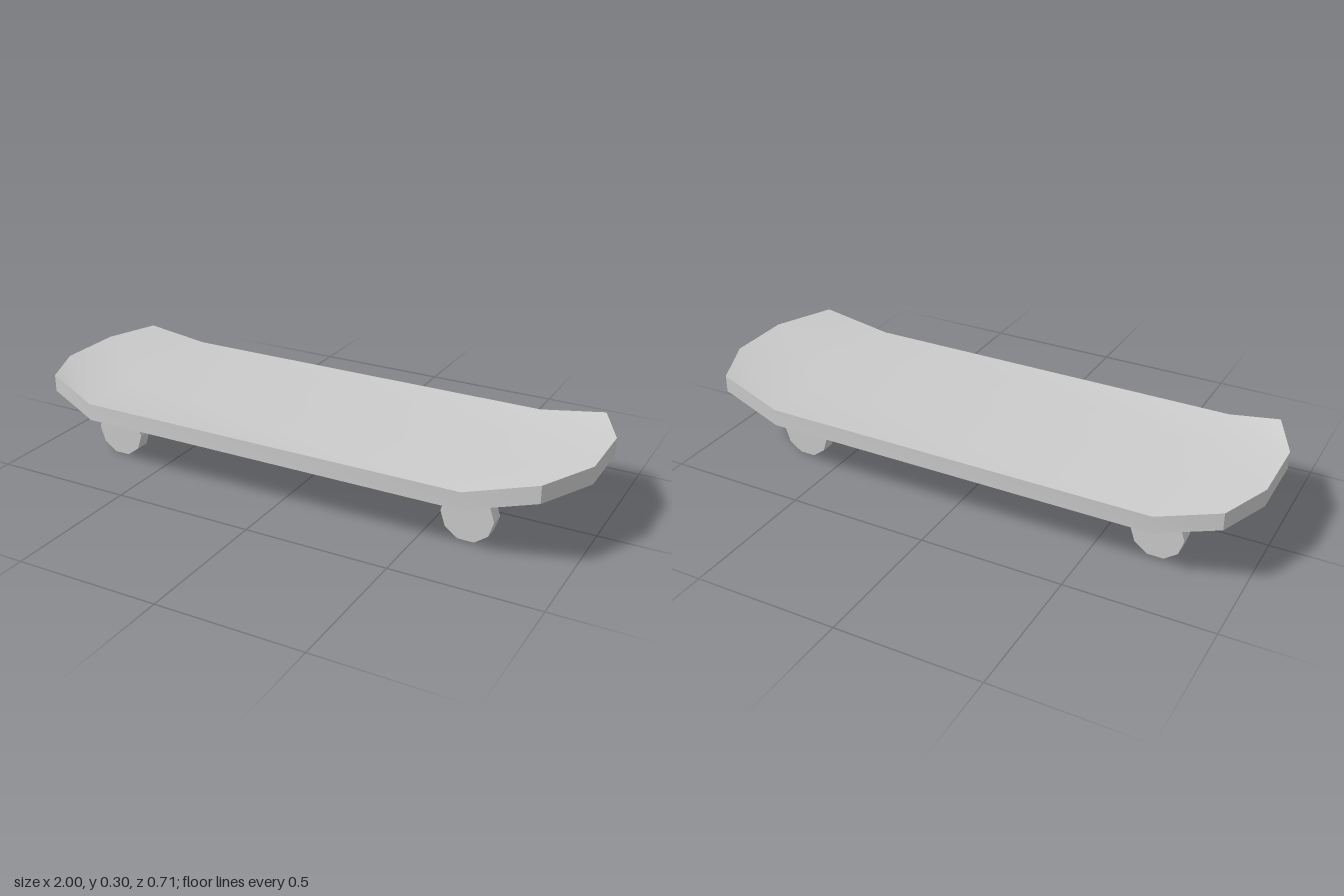
import * as THREE from 'three';
import { toCreasedNormals } from 'three/addons/utils/BufferGeometryUtils.js';

const material = new THREE.MeshStandardMaterial({ color: 0xcccccc });

function addMesh(parent, name, geometry) {
  const mesh = new THREE.Mesh(geometry, material);
  mesh.name = name;
  parent.add(mesh);
  return mesh;
}

// Deck: four cross-sections from right end to left end, each of four [x, topY, z] points
function deckGeometry() {
  const thickness = 0.06;
  const bend = (x) => [-0.355, -0.12, 0.12, 0.355].map((z) => [x, 0.235, z]);
  const rows = [
    [[-0.93, 0.285, -0.31], [-1, 0.284, -0.125], [-1, 0.286, 0.12], [-0.915, 0.29, 0.305]],
    bend(-0.725),
    bend(0.67),
    [[0.91, 0.29, -0.313], [1, 0.294, -0.12], [1, 0.295, 0.115], [0.905, 0.298, 0.318]],
  ];
  const positions = [];
  const triangle = (a, b, c) => positions.push(...a, ...b, ...c);
  const quad = (a, b, c, d) => { triangle(a, b, c); triangle(a, c, d); };
  const down = ([x, y, z]) => [x, y - thickness, z];

  // Top and underside
  for (let i = 0; i < 3; i++) {
    for (let j = 0; j < 3; j++) {
      const a = rows[i][j], b = rows[i][j + 1], c = rows[i + 1][j + 1], d = rows[i + 1][j];
      quad(a, b, c, d);
      quad(down(d), down(c), down(b), down(a));
    }
  }

  // Rim around the outline
  const outline = [
    ...rows[0], rows[1][3], rows[2][3],
    ...[...rows[3]].reverse(), rows[2][0], rows[1][0],
  ];
  outline.forEach((p, i) => {
    const q = outline[(i + 1) % outline.length];
    quad(p, down(p), down(q), q);
  });

  const geometry = new THREE.BufferGeometry();
  geometry.setAttribute('position', new THREE.Float32BufferAttribute(positions, 3));
  return toCreasedNormals(geometry, 0.52);
}

// Truck: a T-shaped hanger with its axle bar, extruded along x
function hangerGeometry() {
  const depth = 0.05;
  const shape = new THREE.Shape([
    [-0.177, 0.083], [0.177, 0.083], [0.177, 0.102], [0.05, 0.102],
    [0.05, 0.176], [-0.05, 0.176], [-0.05, 0.102], [-0.177, 0.102],
  ].map(([z, y]) => new THREE.Vector2(z, y)));
  return new THREE.ExtrudeGeometry(shape, { depth, bevelEnabled: false })
    .translate(0, 0, -depth / 2)
    .rotateY(Math.PI / 2);
}

// Ten-sided wheel lying along z, with a flat side at the bottom
function wheelGeometry() {
  const radius = 0.0905;
  const wheel = new THREE.CylinderGeometry(radius, radius, 0.051, 10, 1, false, Math.PI / 2)
    .rotateX(Math.PI / 2);
  return toCreasedNormals(wheel, 0.5);
}

export function createModel() {
  const model = new THREE.Group();
  model.name = 'skateboard';
  addMesh(model, 'deck', deckGeometry());

  const hanger = hangerGeometry();
  const wheel = wheelGeometry();
  for (const [name, x] of [['rightTruck', -0.7], ['leftTruck', 0.645]]) {
    const truck = new THREE.Group();
    truck.name = name;
    truck.position.x = x;
    addMesh(truck, 'hanger', hanger);
    for (const side of [-1, 1]) {
      addMesh(truck, side > 0 ? 'frontWheel' : 'backWheel', wheel)
        .position.set(0, 0.0861, side * 0.2015);
    }
    model.add(truck);
  }
  return model;
}
